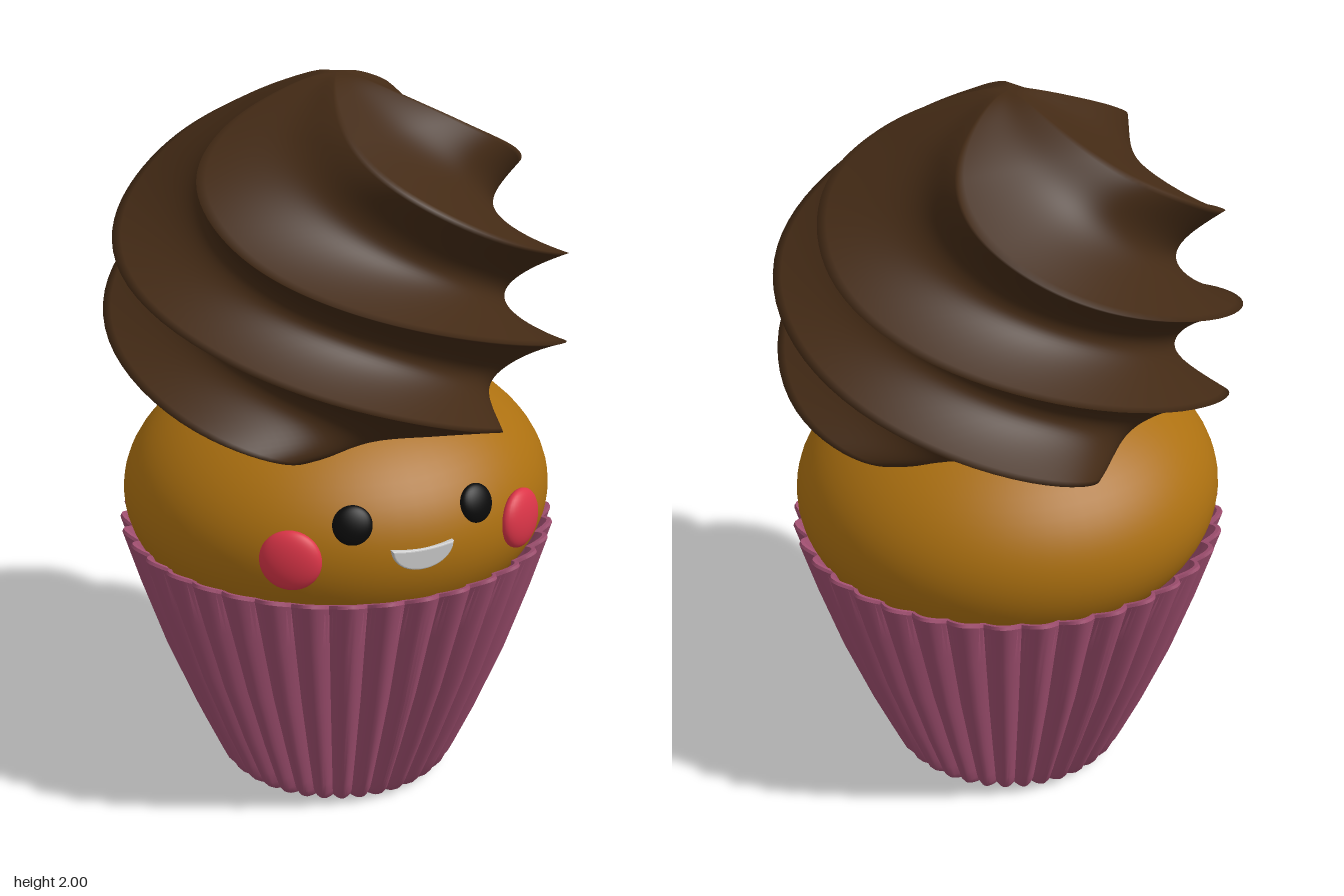
import * as THREE from 'three';
import { toCreasedNormals } from 'three/addons/utils/BufferGeometryUtils.js';

const mat = (color, side = THREE.FrontSide) => new THREE.MeshStandardMaterial({ color, side });

function addMesh(parent, name, geometry, material) {
  const mesh = new THREE.Mesh(geometry, material);
  mesh.name = name;
  parent.add(mesh);
  return mesh;
}

// Closed ring surface: point(row, col) returns [radius, y, angle]
function ringSurface(rows, cols, point) {
  const pos = [], index = [];
  for (let i = 0; i < rows; i++) {
    for (let j = 0; j < cols; j++) {
      const [r, y, a] = point(i, j);
      pos.push(r * Math.cos(a), y, r * Math.sin(a));
      if (i === rows - 1) continue;
      const k = (j + 1) % cols;
      const p = i * cols + j, q = i * cols + k;
      index.push(p, p + cols, q, p + cols, q + cols, q);
    }
  }
  const g = new THREE.BufferGeometry();
  g.setAttribute('position', new THREE.Float32BufferAttribute(pos, 3));
  g.setIndex(index);
  g.computeVertexNormals();
  return g;
}

// Pleated paper cup, from the centre of its base up and over the rim
function wrapperGeometry() {
  const pleats = 36, per = 10;
  const profile = [[0, 0], [0.295, 0], [0.315, 0.014], [0.333, 0.035], [0.352, 0.075], [0.408, 0.2],
    [0.488, 0.4], [0.555, 0.6], [0.601, 0.752], [0.597, 0.76], [0.585, 0.757], [0.55, 0.7]];
  const g = ringSurface(profile.length, pleats * per, (i, j) => {
    const [r, y] = profile[i];
    const valley = 1 - Math.sin(Math.PI * (j % per) / per);
    const inner = i === profile.length - 1;
    const depth = inner ? 0 : 0.033 * Math.min(1, r / 0.4);
    const drop = y > 0.7 && !inner ? 0.016 * valley : 0;
    return [Math.max(0, r - depth * valley), y - drop, ((j + per / 2) / (pleats * per)) * Math.PI * 2];
  });
  return toCreasedNormals(g, 0.55);
}

// Twist of the frosting in degrees: steady in the middle, slower at both ends
const softRamp = (x) => Math.log(1 + Math.exp(30 * x)) / 30;
const twistAt = (y) => 292 * (y - 1.43) - 104 * softRamp(y - 1.64) - 90 * softRamp(y - 1.87) + 70 * softRamp(1.18 - y);

// Five-lobed star section that twists as it rises
function frostingGeometry() {
  const lobes = 5, per = 32, rows = 110;
  const profile = new THREE.CatmullRomCurve3([
    [0, 1.1], [0.25, 1.09], [0.42, 1.085], [0.53, 1.12], [0.6, 1.19], [0.622, 1.3], [0.624, 1.43],
    [0.612, 1.55], [0.56, 1.67], [0.475, 1.785], [0.33, 1.885], [0.18, 1.955], [0.06, 1.995], [0, 2],
  ].map(([r, y]) => new THREE.Vector3(r, y, 0)), false, 'centripetal');
  const rings = profile.getSpacedPoints(rows - 1);
  return ringSurface(rows, lobes * per, (i, j) => {
    const tip = Math.max(0, rings[i].x), y = rings[i].y;
    const t = Math.abs(2 * (j % per) / per - 1);
    const r = tip * (1 - 0.28 * (1 - t * t));
    return [r, y, (j / (lobes * per)) * Math.PI * 2 + THREE.MathUtils.degToRad(twistAt(y))];
  });
}

const CAKE = { rx: 0.59, ry: 0.37, rz: 0.567, y: 0.85 };

// Lay a flattened ball on the front of the cake, facing outward and slightly up
function placeOnCake(mesh, x, y, scale) {
  const u = x / CAKE.rx, v = (y - CAKE.y) / CAKE.ry;
  const w = Math.sqrt(1 - u * u - v * v);
  const normal = new THREE.Vector3(u / CAKE.rx, 0.7 * v / CAKE.ry, w / CAKE.rz);
  mesh.position.set(x, y, w * CAKE.rz);
  mesh.lookAt(normal.add(mesh.position));
  mesh.scale.set(...scale);
}

export function createModel() {
  const group = new THREE.Group();
  group.name = 'cupcake';

  addMesh(group, 'wrapper', wrapperGeometry(), mat(0xa04f70, THREE.DoubleSide));

  const cake = addMesh(group, 'cake', new THREE.SphereGeometry(1, 64, 40), mat(0xac7010));
  cake.scale.set(CAKE.rx, CAKE.ry, CAKE.rz);
  cake.position.y = CAKE.y;

  addMesh(group, 'frosting', frostingGeometry(), mat(0x432a15));

  // Eyes and cheeks
  const ball = new THREE.SphereGeometry(1, 32, 20);
  const black = mat(0x0a0a0a), red = mat(0xdc3548);
  for (const [side, s] of [['left', 1], ['right', -1]]) {
    placeOnCake(addMesh(group, side + 'Eye', ball, black), s * 0.175, 0.962, [0.052, 0.052, 0.022]);
    placeOnCake(addMesh(group, side + 'Cheek', ball, red), s * 0.328, 0.873, [0.082, 0.081, 0.032]);
  }

  // Smiling mouth
  const smile = new THREE.Shape();
  smile.moveTo(-0.082, 0.025);
  smile.quadraticCurveTo(0, 0.01, 0.082, 0.025);
  smile.bezierCurveTo(0.07, -0.05, -0.07, -0.05, -0.082, 0.025);
  const mouth = addMesh(group, 'mouth', new THREE.ExtrudeGeometry(smile, {
    depth: 0.02, bevelEnabled: true, bevelThickness: 0.006, bevelSize: 0.005, bevelSegments: 3, curveSegments: 20,
  }), mat(0xe2e2e2));
  mouth.position.set(0, 0.865, 0.545);

  return group;
}
